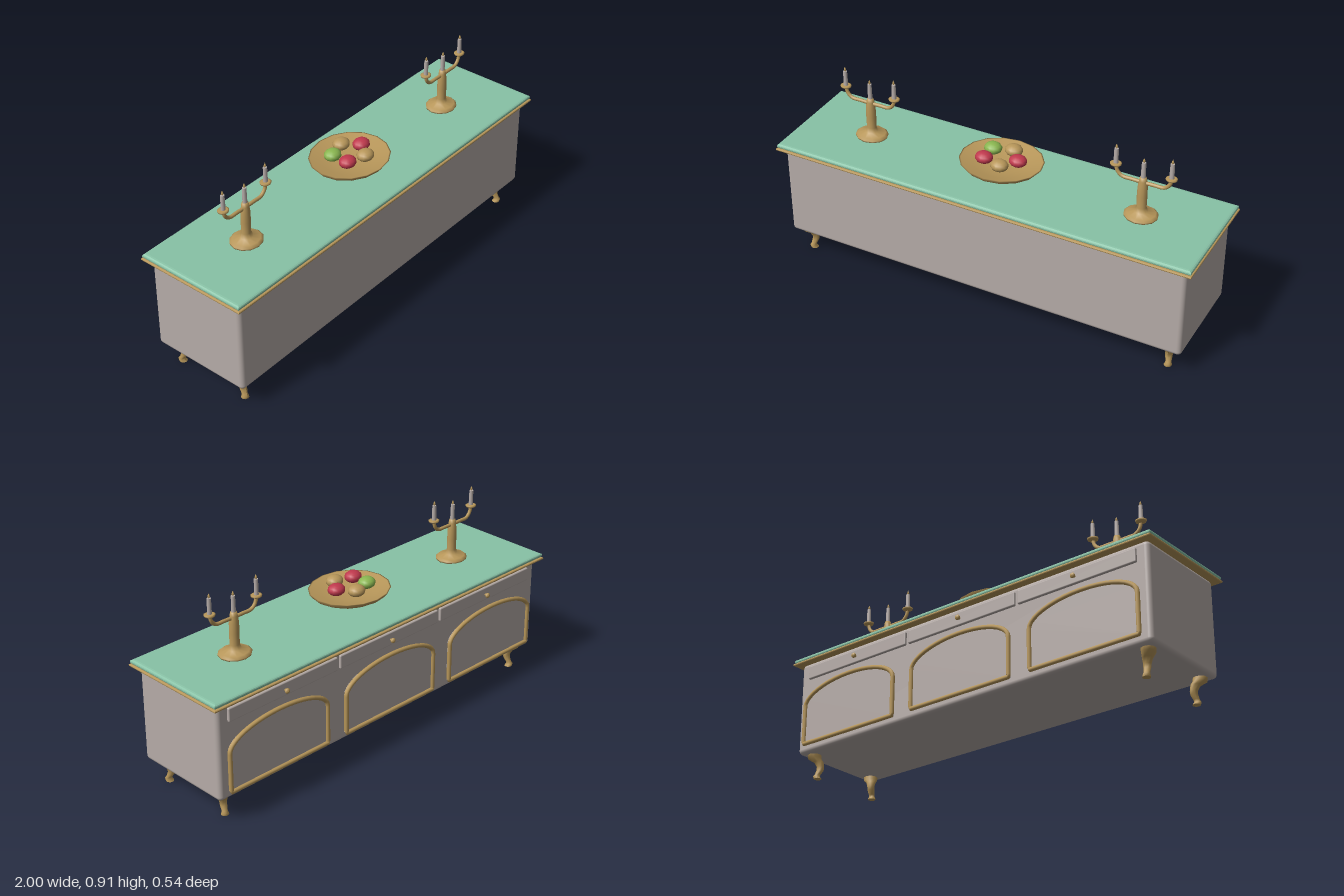
import * as THREE from 'three';
import { RoundedBoxGeometry } from 'three/addons/geometries/RoundedBoxGeometry.js';

const material = (name, color, extra = {}) => {
  const m = new THREE.MeshStandardMaterial({ color, ...extra });
  m.name = name;
  return m;
};

export function createModel() {
  const paint = material('grey paint', 0xb5aba7);
  const stone = material('green top', 0x88c2a6);
  const gold = material('gold', 0xb8975a);
  const red = material('red fruit skin', 0xc0394d);
  const green = material('green fruit skin', 0x8ab650);

  const model = new THREE.Group();
  model.name = 'sideboard';

  const add = (parent, name, geometry, mat, x = 0, y = 0, z = 0) => {
    const mesh = new THREE.Mesh(geometry, mat);
    mesh.name = name;
    mesh.position.set(x, y, z);
    parent.add(mesh);
    return mesh;
  };
  const lathe = (points, sides) =>
    new THREE.LatheGeometry(points.map(([r, y]) => new THREE.Vector2(r, y)), sides);

  // Flat slab with bevelled edges, lying on y = 0
  const slab = (w, d, h, bevel, inset, segments) => {
    const a = w / 2 - inset, b = d / 2 - inset;
    const shape = new THREE.Shape([[-a, -b], [a, -b], [a, b], [-a, b]].map(p => new THREE.Vector2(...p)));
    return new THREE.ExtrudeGeometry(shape, {
      depth: h - 2 * bevel, bevelThickness: bevel, bevelSize: inset, bevelSegments: segments,
    }).translate(0, 0, bevel).rotateX(-Math.PI / 2);
  };

  // Cabinet and top
  add(model, 'cabinet', new RoundedBoxGeometry(1.94, 0.446, 0.48, 4, 0.02), paint, 0, 0.338, 0);
  add(model, 'topTrim', slab(2, 0.54, 0.011, 0.004, 0.005, 2), gold, 0, 0.557, 0);
  add(model, 'top', slab(1.992, 0.53, 0.022, 0.008, 0.015, 3), stone, 0, 0.567, 0);

  // Cabriole legs: rows of [x, y, z, radius] from top to foot
  const legRows = [
    [0.915, 0.122, 0.187, 0.032], [0.915, 0.1, 0.184, 0.031], [0.9, 0.083, 0.172, 0.022],
    [0.894, 0.06, 0.166, 0.017], [0.894, 0.042, 0.168, 0.016], [0.898, 0.022, 0.178, 0.013],
    [0.9, 0.012, 0.183, 0.015], [0.896, 0, 0.178, 0.018],
  ];
  const makeLeg = (sx, sz) => {
    const g = new THREE.CylinderGeometry(1, 1, 1, 10, legRows.length - 1);
    const p = g.attributes.position;
    for (let i = 0; i < p.count; i++) {
      const [x, y, z, r] = legRows[Math.round((0.5 - p.getY(i)) * (legRows.length - 1))];
      p.setXYZ(i, sx * x + p.getX(i) * r, y, sz * z + p.getZ(i) * r);
    }
    g.computeVertexNormals();
    return g;
  };
  for (const sx of [-1, 1]) for (const sz of [-1, 1]) {
    add(model, (sz > 0 ? 'front' : 'back') + (sx > 0 ? 'Left' : 'Right') + 'Leg', makeLeg(sx, sz), gold);
  }

  // Arched door outline, centred on x = 0
  const halfWidth = 0.27, doorBottom = 0.152, spring = 0.335, doorTop = 0.432;
  const outline = [[-halfWidth, doorBottom], [halfWidth, doorBottom]];
  for (let i = 0; i <= 20; i++) {
    const a = (i / 20) * Math.PI;
    outline.push([halfWidth * Math.cos(a), spring + (doorTop - spring) * Math.sin(a)]);
  }
  const doorShape = new THREE.Shape(outline.map(p => new THREE.Vector2(...p)));
  const path = new THREE.CurvePath();
  outline.forEach(([x, y], i) => {
    const [nx, ny] = outline[(i + 1) % outline.length];
    path.add(new THREE.LineCurve3(new THREE.Vector3(x, y, 0), new THREE.Vector3(nx, ny, 0)));
  });
  const frameGeometry = new THREE.TubeGeometry(path, 160, 0.01, 8, true);
  const panelGeometry = new THREE.ExtrudeGeometry(doorShape, { depth: 0.014, bevelEnabled: false });

  // Three doors and drawers along the back
  const drawerGeometry = new RoundedBoxGeometry(0.6, 0.064, 0.022, 3, 0.006);
  const knobGeometry = lathe([[0.005, 0], [0.005, 0.01], [0.011, 0.014], [0.012, 0.02],
    [0.008, 0.025], [0, 0.027]], 12).rotateX(-Math.PI / 2);
  for (const i of [-1, 0, 1]) {
    add(model, 'doorPanel', panelGeometry, paint, i * 0.65, 0, -0.252);
    add(model, 'doorFrame', frameGeometry, gold, i * 0.65, 0, -0.254);
    add(model, 'drawer', drawerGeometry, paint, i * 0.615, 0.505, -0.24);
    add(model, 'drawerKnob', knobGeometry, gold, i * 0.615, 0.503, -0.247);
  }

  // Fruit bowl
  const bowl = new THREE.Group();
  bowl.name = 'fruitBowl';
  bowl.scale.z = 0.9;
  model.add(bowl);
  add(bowl, 'bowl', lathe([[0, 0.588], [0.06, 0.59], [0.08, 0.602], [0.13, 0.622], [0.175, 0.645],
    [0.19, 0.663], [0.183, 0.663], [0.13, 0.648], [0.07, 0.638], [0, 0.635]], 16), gold);
  const fruitGeometry = new THREE.SphereGeometry(0.041, 12, 9);
  [red, gold, red, green, gold].forEach((mat, i) => {
    const a = (i / 5) * Math.PI * 2;
    add(bowl, 'fruit', fruitGeometry, mat, 0.079 * Math.cos(a), 0.681, 0.079 * Math.sin(a)).scale.y = 0.64;
  });

  // Candelabra
  const stand = lathe([[0, 0.588], [0.074, 0.589], [0.076, 0.597], [0.064, 0.606], [0.03, 0.614],
    [0.022, 0.635], [0.023, 0.69], [0.022, 0.735], [0.018, 0.765], [0.015, 0.782], [0, 0.785]], 12);
  const cup = lathe([[0, -0.012], [0.01, -0.01], [0.024, -0.003], [0.026, 0.004], [0.02, 0.006], [0, 0.006]], 12);
  const candle = new THREE.CylinderGeometry(0.0095, 0.011, 0.072, 10);
  const flame = lathe([[0, 0], [0.006, 0.007], [0.004, 0.015], [0, 0.024]], 8);
  const addCandle = (parent, x, y) => {
    add(parent, 'candle', candle, paint, x, y + 0.036, 0);
    add(parent, 'flame', flame, gold, x, y + 0.07, 0);
  };
  for (const side of [-1, 1]) {
    const holder = new THREE.Group();
    holder.name = side > 0 ? 'leftCandelabrum' : 'rightCandelabrum';
    holder.position.x = side * 0.66;
    holder.scale.z = 0.9;
    model.add(holder);
    add(holder, 'stand', stand, gold);
    addCandle(holder, 0, 0.783);
    for (const s of [-1, 1]) {
      const arm = new THREE.CatmullRomCurve3([[0, 0.757], [0.05, 0.758], [0.095, 0.76], [0.117, 0.78], [0.125, 0.808]]
        .map(([x, y]) => new THREE.Vector3(s * x, y, 0)));
      add(holder, 'arm', new THREE.TubeGeometry(arm, 16, 0.0085, 8), gold);
      add(holder, 'candleCup', cup, gold, s * 0.125, 0.811, 0);
      addCandle(holder, s * 0.125, 0.815);
    }
  }
  return model;
}
